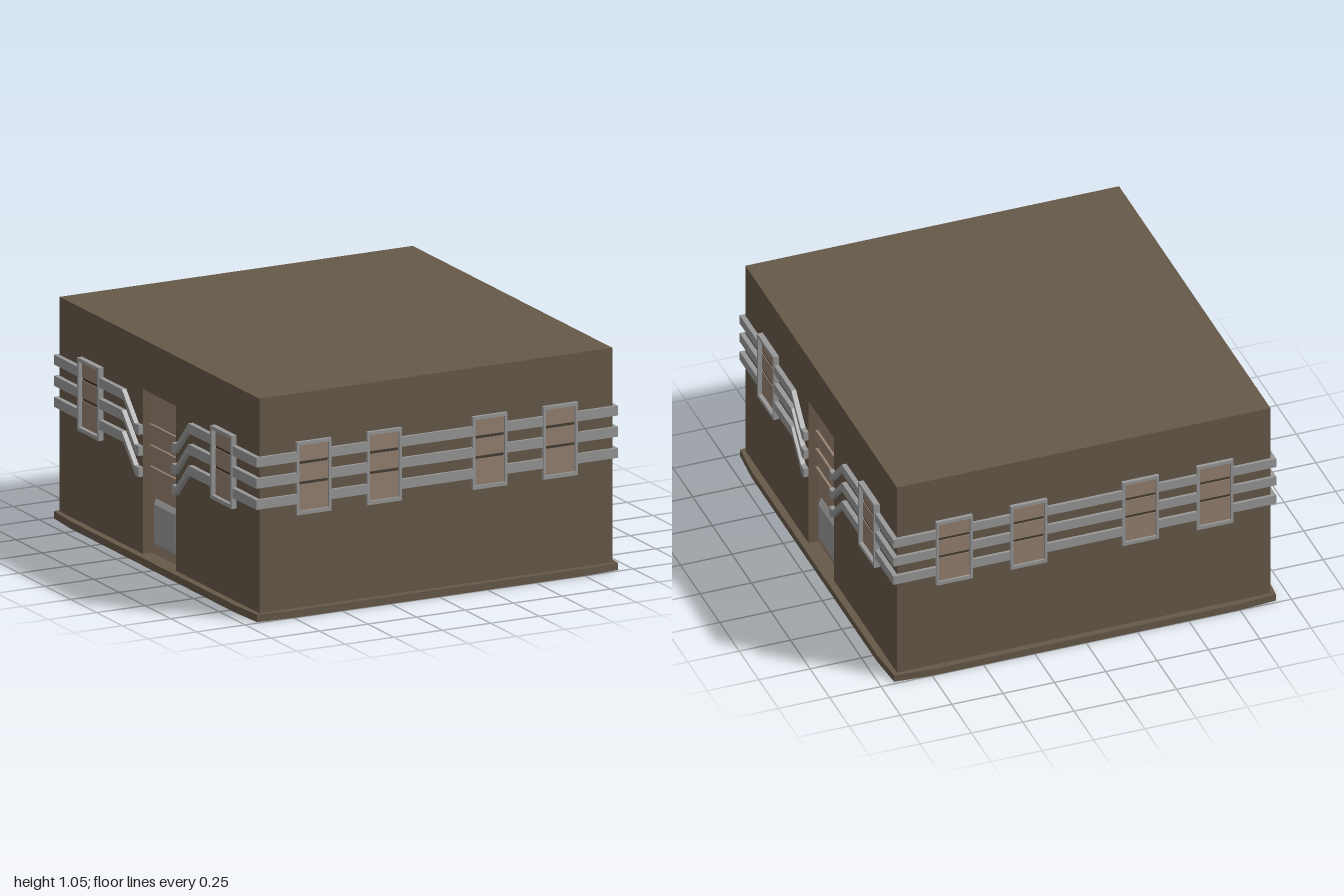
import * as THREE from 'three';

const material = (name, color) => {
  const m = new THREE.MeshStandardMaterial({ color });
  m.name = name;
  return m;
};

const HALF_X = 0.91, HALF_Z = 0.968, BASE = 0.035, ROOF = 1.05;
const DOOR_HALF = 0.162, DOOR_TOP = 0.815, DOOR_DEPTH = 0.05;
const BANDS = [[0.53, 0.576], [0.63, 0.677], [0.73, 0.776]];
const WIN_LOW = 0.477, WIN_HIGH = 0.822;

export function createModel() {
  const wallMat = material('brown wall', 0x665949);
  const tanMat = material('tan panel', 0x958170);
  const greyMat = material('grey trim', 0x989898);
  const slitMat = material('dark slit', 0x453c33);
  const model = new THREE.Group();
  model.name = 'building';

  const add = (parent, name, geometry, mat, x = 0, y = 0, z = 0) => {
    const mesh = new THREE.Mesh(geometry, mat);
    mesh.name = name;
    mesh.position.set(x, y, z);
    parent.add(mesh);
    return mesh;
  };
  const shapeOf = (pts) => new THREE.Shape(pts.map(([x, y]) => new THREE.Vector2(x, y)));
  const rect = (x0, x1, y0, y1) => [[x0, y0], [x1, y0], [x1, y1], [x0, y1]];
  const plate = (pts, depth, hole) => {
    const s = shapeOf(pts);
    if (hole) s.holes.push(new THREE.Path(hole.map(([x, y]) => new THREE.Vector2(x, y))));
    return new THREE.ExtrudeGeometry(s, { depth, bevelEnabled: false });
  };
  // Extrudes a floor plan upwards
  const slab = (name, pts, y, height) =>
    add(model, name, plate(pts, height).rotateX(-Math.PI / 2), wallMat, 0, y, 0);

  // Plinth with slightly tapered corners
  slab('plinth', [
    [-0.93, -0.985], [-0.75, -1], [0.75, -1], [0.93, -0.985], [0.944, -0.8], [0.944, 0.8],
    [0.93, 0.985], [0.75, 1], [-0.75, 1], [-0.93, 0.985], [-0.944, 0.8], [-0.944, -0.8],
  ], 0, BASE);

  // Walls with a door recess on both sides, and the solid block above
  const inner = HALF_X - DOOR_DEPTH, d = DOOR_HALF;
  slab('walls', [
    [-HALF_X, -HALF_Z], [HALF_X, -HALF_Z], [HALF_X, -d], [inner, -d], [inner, d], [HALF_X, d],
    [HALF_X, HALF_Z], [-HALF_X, HALF_Z], [-HALF_X, d], [-inner, d], [-inner, -d], [-HALF_X, -d],
  ], BASE, DOOR_TOP - BASE);
  slab('upperWalls', rect(-HALF_X, HALF_X, -HALF_Z, HALF_Z), DOOR_TOP, ROOF - DOOR_TOP);

  // A facade is built facing +z on its wall, then turned into place
  const facade = (name, angle, distance) => {
    const group = new THREE.Group();
    group.name = name;
    group.rotation.y = angle;
    const face = new THREE.Group();
    face.name = name + 'Face';
    face.position.z = distance;
    group.add(face);
    model.add(group);
    return face;
  };

  const addWindow = (face, x, half, depth) => {
    const win = new THREE.Group();
    win.name = 'window';
    win.position.x = x;
    face.add(win);
    const w = half - 0.013, low = WIN_LOW + 0.018, high = WIN_HIGH - 0.016;
    add(win, 'windowFrame',
      plate(rect(-half, half, WIN_LOW, WIN_HIGH), depth, rect(-w, w, low, high)), greyMat);
    add(win, 'windowSlits', plate(rect(-w, w, low, high), 0.003), slitMat);
    // Three panes separated by two slits
    for (const [a, b] of [[low, 0.618], [0.632, 0.714], [0.728, high]])
      add(win, 'windowPane', plate(rect(-w, w, a, b), 0.007), tanMat);
  };

  // Front and back: four windows joined by three straight bands
  for (const [name, angle] of [['front', 0], ['back', Math.PI]]) {
    const face = facade(name, angle, HALF_Z);
    for (const x of [-0.635, -0.272, 0.272, 0.635]) addWindow(face, x, 0.089, 0.017);
    for (const [a, b] of BANDS)
      for (const [x0, x1] of [[-HALF_X, -0.724], [-0.546, -0.361], [-0.183, 0.183], [0.361, 0.546], [0.724, HALF_X]])
        add(face, 'wallBand', plate(rect(x0, x1, a, b), 0.014), greyMat);
  }

  // Sides: two windows, bands that step down to a recessed door
  for (const [name, angle] of [['left', Math.PI / 2], ['right', -Math.PI / 2]]) {
    const face = facade(name, angle, HALF_X);
    const end = HALF_Z + 0.014, drop = 0.13;
    for (const s of [-1, 1]) {
      addWindow(face, s * 0.645, 0.104, 0.027);
      for (const [a, b] of BANDS) {
        add(face, 'cornerBand', plate(rect(s * 0.749, s * end, a, b), 0.023), greyMat);
        add(face, 'steppedBand', plate([
          [0.541, a], [0.541, b], [0.322, b], [0.2, b - drop], [d, b - drop],
          [d, a - drop], [0.188, a - drop], [0.308, a],
        ].map(([x, y]) => [s * x, y]), 0.023), greyMat);
      }
    }
    // Door leaf with three raised bars and a bevelled kick panel
    const back = -DOOR_DEPTH;
    add(face, 'door', plate(rect(-d, d, BASE, DOOR_TOP), 0.004), tanMat, 0, 0, back);
    for (const [a, b] of BANDS)
      add(face, 'doorBar', plate(rect(-d, d, a - drop, b - drop), 0.016), tanMat, 0, 0, back);
    add(face, 'doorPanel', new THREE.ExtrudeGeometry(shapeOf(rect(-0.098, 0.098, 0.1, 0.282)), {
      depth: 0.002, bevelEnabled: true, bevelSegments: 1, bevelSize: 0.019, bevelThickness: 0.02,
    }), greyMat, 0, 0, back + 0.004);
  }
  return model;
}
